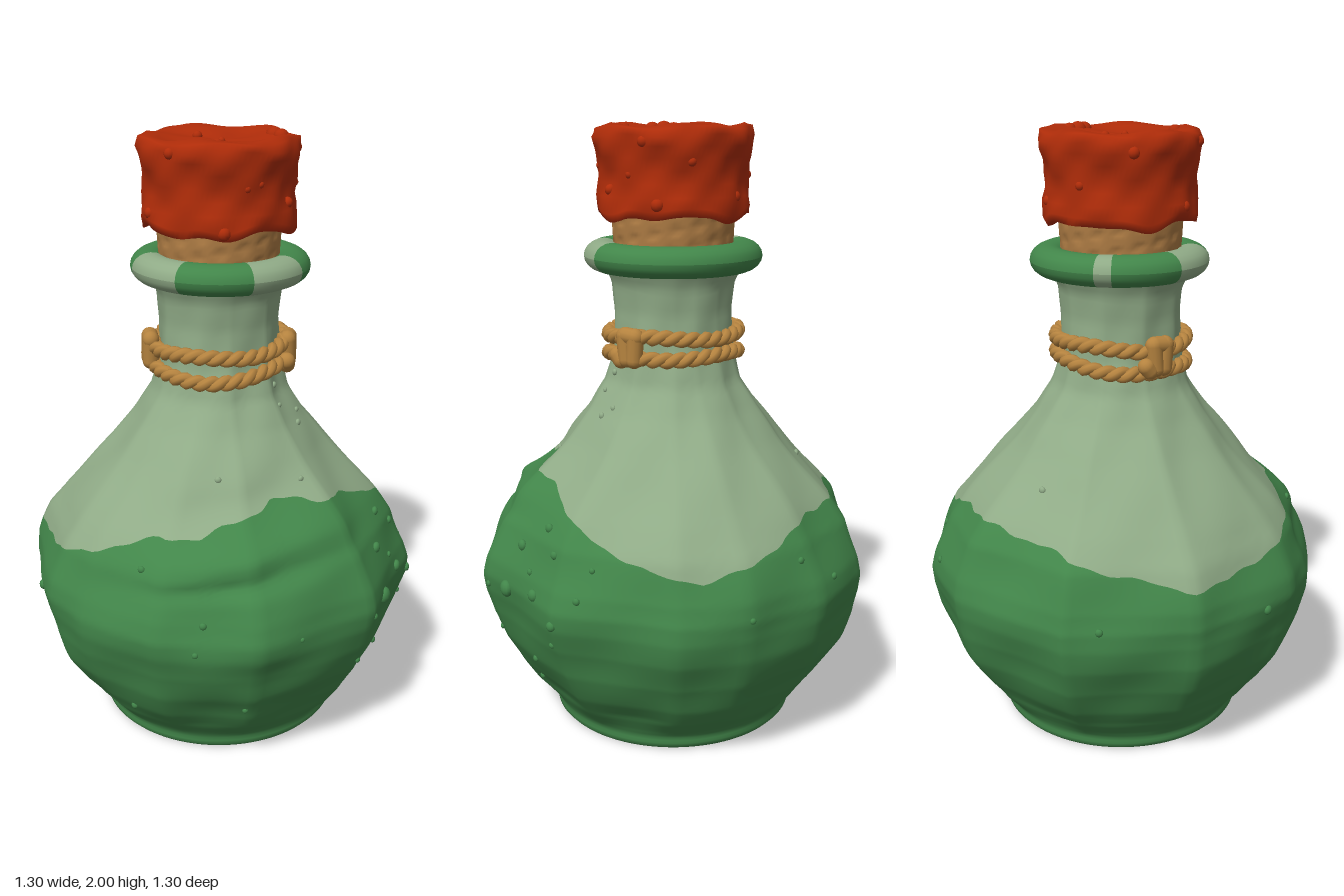
import * as THREE from 'three';

const DEG = Math.PI / 180;
const mat = (name, color) => Object.assign(new THREE.MeshStandardMaterial({ color }), { name });
const gauss = (x, c, w) => Math.exp(-(((x - c) / w) ** 2));

// Straight-line lookup in a list of [key, value] pairs
function lookup(list, k) {
  if (k <= list[0][0]) return list[0][1];
  for (let i = 1; i < list.length; i++) {
    const [k0, v0] = list[i - 1], [k1, v1] = list[i];
    if (k <= k1) return v0 + (v1 - v0) * (k - k0) / (k1 - k0);
  }
  return list[list.length - 1][1];
}

// Closed surface of rings; fn(angle, ring) gives [radius, y]; angle 0 is the front, 90 degrees is +x
function ringSurface(cols, rings, fn) {
  const pos = [], idx = [];
  for (let j = 0; j < rings; j++) for (let i = 0; i < cols; i++) {
    const a = (i / cols) * 2 * Math.PI, [r, y] = fn(a, j);
    pos.push(r * Math.sin(a), y, r * Math.cos(a));
    if (j === rings - 1) continue;
    const p = j * cols + i, q = j * cols + (i + 1) % cols;
    idx.push(p, q, q + cols, p, q + cols, p + cols);
  }
  const g = new THREE.BufferGeometry();
  g.setAttribute('position', new THREE.Float32BufferAttribute(pos, 3));
  g.setIndex(idx);
  g.computeVertexNormals();
  return g;
}

// Flask outline: [height, radius]
const OUTLINE = [[0, 0.405], [0.015, 0.413], [0.045, 0.413], [0.07, 0.432], [0.12, 0.48], [0.2, 0.54], [0.3, 0.597],
  [0.4, 0.636], [0.48, 0.655], [0.54, 0.66], [0.6, 0.647], [0.72, 0.597], [0.8, 0.535], [0.88, 0.462], [0.98, 0.37],
  [1.08, 0.288], [1.17, 0.23], [1.27, 0.203], [1.4, 0.197], [1.49, 0.205], [1.56, 0.235]];
// Uneven facet corners around the belly, in degrees
const CORNERS = [-13, 25, 63, 98, 118, 142, 168, 205, 243, 279, 294, 319, 347];
// Liquid height every 15 degrees
const LIQUID = [0.9, 0.895, 0.87, 0.85, 0.8, 0.745, 0.69, 0.67, 0.7, 0.755, 0.785, 0.795, 0.78, 0.77, 0.74, 0.7, 0.665,
  0.66, 0.69, 0.72, 0.78, 0.82, 0.83, 0.865, 0.9].map((h, i) => [i * 15, h]);
const FACET = [[0.05, 0], [0.14, 0.9], [0.3, 1], [0.9, 1], [1.25, 0.6], [1.5, 0.3], [1.56, 0]];

function facet(a) {
  let d = a / DEG;
  if (d >= 347) d -= 360;
  const i = CORNERS.findIndex((c) => c > d);
  const lo = CORNERS[i - 1], hi = CORNERS[i];
  return Math.cos((hi - lo) / 2 * DEG) / Math.cos((d - (lo + hi) / 2) * DEG);
}

function flaskRadius(a, y) {
  const k = lookup(FACET, y);
  const s = a > Math.PI ? a - 2 * Math.PI : a;
  let r = lookup(OUTLINE, y) * (1 + (facet(a) - 1) * k);
  // Soft hammered dents
  r += k * (0.006 * Math.sin(5 * a + 11 * y) * Math.sin(13 * y - 2 * a) + 0.004 * Math.sin(9 * a - 17 * y));
  // Crumpled front: a swollen panel, a folded ledge with a dent above and a groove below
  const f = gauss(s, -0.2, 0.5), tilt = 0.05 * s;
  r += f * (0.018 * gauss(y, 0.55, 0.2) + 0.028 * gauss(y, 0.795 + tilt, 0.035));
  r -= f * (0.028 * gauss(y, 0.91 + tilt, 0.06) + 0.022 * gauss(y, 0.72 + tilt, 0.025));
  r += f * 0.012 * Math.sin(22 * y + 6 * a) * Math.sin(9 * y - 5 * a) * gauss(y, 0.4, 0.25);
  return r;
}

const liquidLine = (a) => lookup(LIQUID, a / DEG) + 0.006 * Math.sin(13 * a) + 0.003 * Math.sin(29 * a + 1);

// Ball pressed onto a surface
function blob(group, name, a, y, r, size, material, flat = 1) {
  const m = new THREE.Mesh(new THREE.SphereGeometry(size, 12, 8), material);
  m.name = name;
  m.position.set(r * Math.sin(a), y, r * Math.cos(a));
  m.rotation.y = a;
  m.scale.z = flat;
  group.add(m);
}

export function createModel() {
  const glass = mat('pale glass', 0x90ab87), liquid = mat('green liquid', 0x42864a);
  const wax = mat('red wax', 0xaf2c09), cork = mat('cork', 0xae7c44), rope = mat('rope', 0xb5833f);
  const model = new THREE.Group();
  const add = (name, geo, material, parent = model) => {
    const m = new THREE.Mesh(geo, material);
    m.name = name;
    parent.add(m);
    return m;
  };

  // Flask: rings up to the wavy liquid line, then clear glass up to the mouth
  const cols = 144, low = 64, high = 44;
  const flask = ringSurface(cols, low + high + 2, (a, j) => {
    if (j === 0) return [0, 0];
    if (j === 1) return [0.4, 0];
    const line = liquidLine(a), t = j - 1;
    const y = t <= low ? line * (t / low) : line + (1.56 - line) * (t - low) / high;
    return [flaskRadius(a, y), y];
  });
  const split = (low + 1) * cols * 6;
  flask.addGroup(0, split, 0);
  flask.addGroup(split, high * cols * 6, 1);
  add('flask', flask, [liquid, glass]);

  // Rounded lip, painted in arcs: [start, end, material]
  const lip = new THREE.Group();
  lip.name = 'lip';
  lip.position.x = 0.005;
  model.add(lip);
  const lipProfile = [];
  for (let i = 0; i <= 20; i++) {
    const t = i / 20 * 2 * Math.PI;
    lipProfile.push(new THREE.Vector2(0.23 + 0.062 * Math.cos(t), 1.575 + 0.05 * Math.sin(t)));
  }
  for (const [from, to, m] of [[-3, 38, glass], [38, 205, liquid], [205, 216, glass], [216, 262, liquid],
    [262, 308, glass], [308, 357, liquid]])
    add('lipArc', new THREE.LatheGeometry(lipProfile, Math.ceil((to - from) / 5), from * DEG, (to - from) * DEG), m, lip);

  // Cork with small pits
  add('cork', ringSurface(96, 18, (a, j) => {
    const pit = Math.max(0, Math.sin(9 * a + 3 * j) * Math.sin(5 * a - 2 * j) - 0.4);
    return [0.192 + 0.012 * j / 17 - 0.014 * pit, 1.54 + j * 0.0125];
  }), cork);

  // Wax cap: [radius, height] from the underside over the rim to the sunken top
  const CAP = [[0.17, 1.74], [0.225, 1.708], [0.244, 1.705], [0.251, 1.73], [0.246, 1.77], [0.238, 1.81], [0.24, 1.85],
    [0.247, 1.89], [0.256, 1.925], [0.258, 1.955], [0.248, 1.98], [0.222, 1.988], [0.19, 1.978], [0.13, 1.968],
    [0.06, 1.966], [0, 1.965]];
  add('waxCap', ringSurface(96, CAP.length, (a, j) => {
    const [r, y] = CAP[j];
    const drip = Math.sin(4 * a + 1) * 0.6 + Math.sin(7 * a) * 0.5 + Math.sin(11 * a + 2) * 0.2;
    const rough = 0.005 * Math.sin(6 * a + 1.3 * j) + 0.003 * Math.sin(11 * a - 1.7 * j);
    const rim = j > 8 ? Math.min(1, r / 0.2) : 0;
    return [r + (r > 0.2 ? rough : 0), y + (j < 4 ? 0.014 * drip : 0) + rim * 0.006 * Math.sin(5 * a + j)];
  }), wax);

  // Wax drips and beads: [angle, height, radius from the axis, size]
  for (const [a, y, r, s] of [[-3, 1.85, 0.238, 0.013], [8, 1.86, 0.236, 0.012], [-20, 1.92, 0.246, 0.013],
    [40, 1.79, 0.235, 0.018], [62, 1.84, 0.236, 0.014], [85, 1.75, 0.24, 0.022], [75, 1.94, 0.245, 0.02],
    [110, 1.88, 0.242, 0.015], [150, 1.77, 0.236, 0.02], [190, 1.83, 0.236, 0.016], [230, 1.93, 0.245, 0.02],
    [275, 1.76, 0.24, 0.02], [300, 1.95, 0.246, 0.018], [340, 1.72, 0.242, 0.022], [88, 1.97, 0.19, 0.029],
    [78, 1.97, 0.2, 0.026], [97, 1.97, 0.2, 0.025], [235, 1.97, 0.2, 0.015], [195, 1.968, 0.11, 0.016],
    [0, 1.965, 0.02, 0.012], [335, 1.97, 0.19, 0.022]]) blob(model, 'waxBead', a * DEG, y, r, s, wax);

  // Two wavy rope loops, each of two twisted strands
  class Strand extends THREE.Curve {
    constructor(y, tilt, phase) { super(); Object.assign(this, { y, tilt, phase }); }
    getPoint(t, out = new THREE.Vector3()) {
      const a = t * 2 * Math.PI, w = 15 * a + this.phase, r = 0.213 + 0.01 * Math.cos(w);
      const sway = this.tilt * Math.sin(a - 0.4) + 0.006 * Math.sin(3 * a + 60 * this.y);
      return out.set(r * Math.sin(a), this.y + sway + 0.01 * Math.sin(w), r * Math.cos(a));
    }
  }
  for (const [y, tilt] of [[1.322, 0.008], [1.253, 0.016]]) for (const phase of [0, Math.PI])
    add('ropeStrand', new THREE.TubeGeometry(new Strand(y, tilt, phase), 300, 0.017, 8, true), rope);

  // Knots: a wrapped lump with two loose ends
  for (const angle of [60, 254]) {
    const knot = new THREE.Group();
    knot.name = 'knot';
    knot.position.set(0.224 * Math.sin(angle * DEG), 1.297, 0.224 * Math.cos(angle * DEG));
    knot.rotation.y = angle * DEG;
    model.add(knot);
    for (const [x, dy, tilt, len] of [[-0.02, 0, 0.1, 0.075], [0.016, 0, -0.06, 0.075], [0, 0.038, 1.5, 0.04],
      [-0.045, -0.035, 0.7, 0.02]]) {
      const wrap = add('ropeWrap', new THREE.CapsuleGeometry(0.028, len, 5, 12), rope, knot);
      wrap.position.set(x, dy, 0.004);
      wrap.rotation.z = tilt;
    }
  }

  // Droplets on the flask: [angle, height, size]
  for (const [deg, y, s] of [[37, 0.53, 0.028], [40, 0.68, 0.019], [58, 0.7, 0.014], [27, 0.51, 0.011], [52, 0.56, 0.02],
    [69, 0.59, 0.012], [51, 0.76, 0.016], [-28, 0.6, 0.012], [-30, 0.51, 0.01], [0, 0.53, 0.008], [-92, 0.53, 0.016],
    [25, 0.34, 0.01], [45, 0.3, 0.012], [60, 0.42, 0.01], [35, 0.18, 0.012], [72, 0.68, 0.01], [-48, 0.74, 0.012],
    [-24, 0.97, 0.011], [33, 1.2, 0.011], [42, 1.07, 0.012], [19, 0.94, 0.01], [30, 1.14, 0.009], [50, 1.1, 0.01],
    [185, 0.9, 0.012], [150, 0.6, 0.012], [215, 0.55, 0.013], [138, 0.68, 0.012], [118, 0.55, 0.01], [-55, 0.2, 0.012],
    [-15, 0.25, 0.01], [62, 0.5, 0.016], [48, 0.62, 0.011]]) {
    const a = ((deg + 360) % 360) * DEG;
    blob(model, 'droplet', a, y, flaskRadius(a, y), s, y < liquidLine(a) ? liquid : glass, 0.7);
  }
  return model;
}
